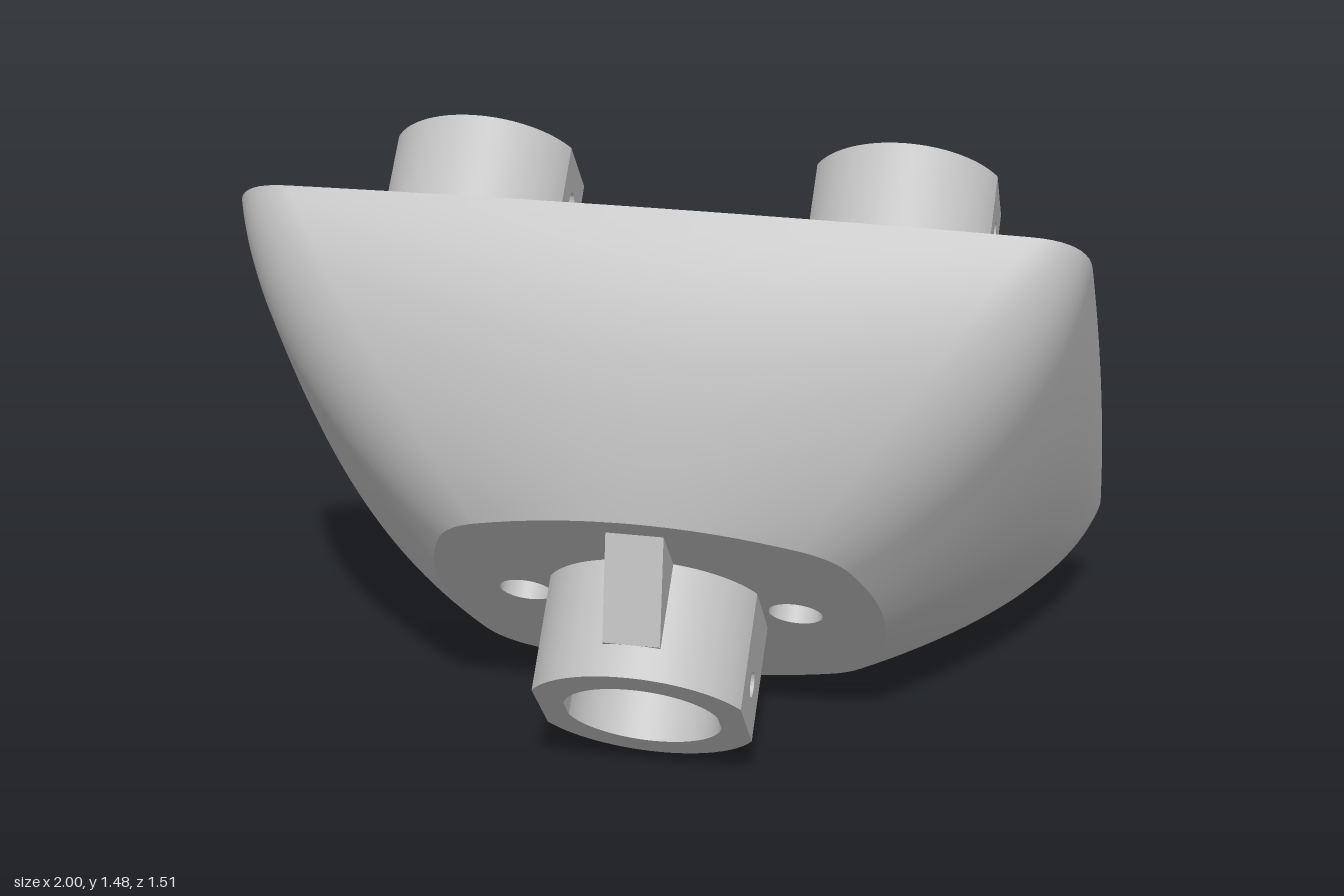
import * as THREE from 'three';
import { mergeGeometries, toCreasedNormals } from 'three/addons/utils/BufferGeometryUtils.js';

const grey = new THREE.MeshStandardMaterial({ color: 0xc0c0c0, side: THREE.DoubleSide });
grey.name = 'grey plastic';

const DEPTH = 0.632; // distance from the wide back plate to the small front face
const BORE = 0.19;

// Turns (x, y, extrusion) into (y, z, x)
const sideways = new THREE.Matrix4().makeBasis(
  new THREE.Vector3(0, 1, 0), new THREE.Vector3(0, 0, 1), new THREE.Vector3(1, 0, 0));

function mesh(name, geometry, parent) {
  const m = new THREE.Mesh(geometry, grey);
  m.name = name;
  parent.add(m);
  return m;
}

function extrude(shape, depth) {
  const g = new THREE.ExtrudeGeometry(shape, { depth, bevelEnabled: false, curveSegments: 24 });
  return toCreasedNormals(g, 0.35);
}

function circlePath(x, y, r) {
  return new THREE.Path().absarc(x, y, r, 0, Math.PI * 2, true);
}

// Bulged, round-cornered rectangle; t runs from back plate (0) to front face (1)
function outline(t) {
  const arch = 4 * t * (1 - t);
  const mix = (a, b, bulge) => a + (b - a) * t + bulge * arch;
  const hx = mix(1, 0.545, 0.1), hy = mix(0.845, 0.505, 0.067);
  const bx = mix(0.015, 0.09, 0), by = mix(0.02, 0.12, 0);
  const cx = hx - bx, cy = hy - by, r = mix(0.13, 0.07, 0.08);
  const ex = cx - r, ey = cy - r;
  const sideX = y => hx - bx * (y / cy) ** 2;
  const topY = x => hy - by * (x / cx) ** 2;
  const quarter = [];
  for (let i = 0; i <= 8; i++) {
    const y = ey * i / 8;
    quarter.push(new THREE.Vector2(sideX(y), y));
  }
  const fillet = new THREE.QuadraticBezierCurve(
    new THREE.Vector2(sideX(ey), ey), new THREE.Vector2(cx, cy), new THREE.Vector2(ex, topY(ex)));
  quarter.push(...fillet.getPoints(10).slice(1));
  for (let i = 7; i >= 0; i--) {
    const x = ex * i / 8;
    quarter.push(new THREE.Vector2(x, topY(x)));
  }
  const flip = (list, sx, sy) => list.map(p => new THREE.Vector2(p.x * sx, p.y * sy));
  const half = [...quarter, ...flip(quarter.slice(0, -1).reverse(), -1, 1)];
  return [...half, ...flip(half.slice(1, -1).reverse(), 1, -1)];
}

// Smooth skin through a stack of outlines
function loftGeometry() {
  const rings = 24, pos = [], idx = [];
  let n = 0;
  for (let j = 0; j <= rings; j++) {
    const pts = outline(j / rings);
    n = pts.length;
    pts.forEach(p => pos.push(p.x, p.y, DEPTH * j / rings));
  }
  for (let j = 0; j < rings; j++) {
    for (let i = 0; i < n; i++) {
      const a = j * n + i, b = j * n + (i + 1) % n;
      idx.push(a, b, b + n, a, b + n, a + n);
    }
  }
  const g = new THREE.BufferGeometry();
  g.setAttribute('position', new THREE.Float32BufferAttribute(pos, 3));
  g.setIndex(idx);
  g.computeVertexNormals();
  return g;
}

// Round tube with two flats, drilled across at the given heights
function tubeGeometry(R, flat, height, drills) {
  const w = 0.04, inner = Math.sqrt(BORE * BORE - w * w);
  const aOut = Math.acos(flat / R), aIn = Math.asin(w / BORE), steps = 40;
  const pts = [new THREE.Vector2(flat, w)];
  const arc = (r, a, b) => {
    for (let i = 0; i <= steps; i++) {
      const k = a + (b - a) * i / steps;
      pts.push(new THREE.Vector2(r * Math.cos(k), r * Math.sin(k)));
    }
  };
  arc(R, aOut, Math.PI - aOut);
  pts.push(new THREE.Vector2(-flat, w));
  arc(BORE, Math.PI - aIn, aIn);
  const half = extrude(new THREE.Shape(pts), height);

  // Drilled strip in the middle of each flat
  const strip = new THREE.Shape([[-w, 0], [w, 0], [w, height], [-w, height]].map(p => new THREE.Vector2(...p)));
  drills.forEach(h => strip.holes.push(circlePath(0, h, 0.031)));
  const wall = extrude(strip, flat - inner).applyMatrix4(sideways).translate(inner, 0, 0);
  return mergeGeometries([half, half.clone().rotateZ(Math.PI), wall, wall.clone().rotateZ(Math.PI)]);
}

// Triangular gusset on the +y side of a tube
function ribGeometry(R, reach, height, width) {
  const s = new THREE.Shape([
    new THREE.Vector2(R - 0.03, 0), new THREE.Vector2(reach, 0),
    new THREE.Vector2(R, height), new THREE.Vector2(R - 0.03, height)]);
  return extrude(s, width).applyMatrix4(sideways).translate(-width / 2, 0, 0);
}

// Blind hole going back from the given z
function addPocket(name, x, r, z, depth, parent) {
  const wall = new THREE.CylinderGeometry(r, r, depth, 48, 1, true).rotateX(Math.PI / 2);
  mesh(name + 'Wall', wall.translate(x, 0, z - depth / 2), parent);
  mesh(name + 'Floor', new THREE.CircleGeometry(r, 48).translate(x, 0, z - depth), parent);
}

export function createModel() {
  const model = new THREE.Group();
  model.name = 'tubeConnector';
  const tilted = new THREE.Group();
  tilted.name = 'tiltedBody';
  tilted.rotation.x = THREE.MathUtils.degToRad(42);
  tilted.position.set(0, 0.8275, -0.11);
  model.add(tilted);

  // Body
  mesh('bodyShell', loftGeometry(), tilted);
  mesh('backPlate', new THREE.ShapeGeometry(new THREE.Shape(outline(0))).rotateY(Math.PI), tilted);
  const front = new THREE.Shape(outline(1));
  front.holes.push(circlePath(0, 0, BORE), circlePath(0.33, 0, 0.065), circlePath(-0.33, 0, 0.065));
  mesh('frontFace', new THREE.ShapeGeometry(front, 48).translate(0, 0, DEPTH), tilted);
  addPocket('mainBore', 0, BORE, DEPTH, 0.4, tilted);
  for (const s of [-1, 1]) addPocket('screwHole', s * 0.33, 0.065, DEPTH, 0.4, tilted);

  // Front tube with a gusset above and below
  const frontTube = new THREE.Group();
  frontTube.name = 'frontTube';
  frontTube.position.z = DEPTH;
  tilted.add(frontTube);
  mesh('frontTubeWall', tubeGeometry(0.276, 0.25, 0.29, [0.187]), frontTube);
  const frontRib = ribGeometry(0.276, 0.438, 0.21, 0.136);
  mesh('upperRib', frontRib, frontTube);
  mesh('lowerRib', frontRib, frontTube).rotation.y = 0;
  frontTube.children[2].rotation.z = Math.PI;

  // Four back sockets, each with a gusset below
  const socketWall = tubeGeometry(0.237, 0.215, 0.345, [0.107, 0.242]);
  const socketRib = ribGeometry(0.237, 0.37, 0.283, 0.12);
  for (const x of [-0.515, 0.515]) {
    for (const y of [-0.343, 0.343]) {
      const socket = new THREE.Group();
      socket.name = 'backSocket';
      socket.position.set(x, y, 0);
      socket.rotation.x = Math.PI;
      tilted.add(socket);
      mesh('socketWall', socketWall, socket);
      mesh('socketRib', socketRib, socket);
    }
  }
  return model;
}
